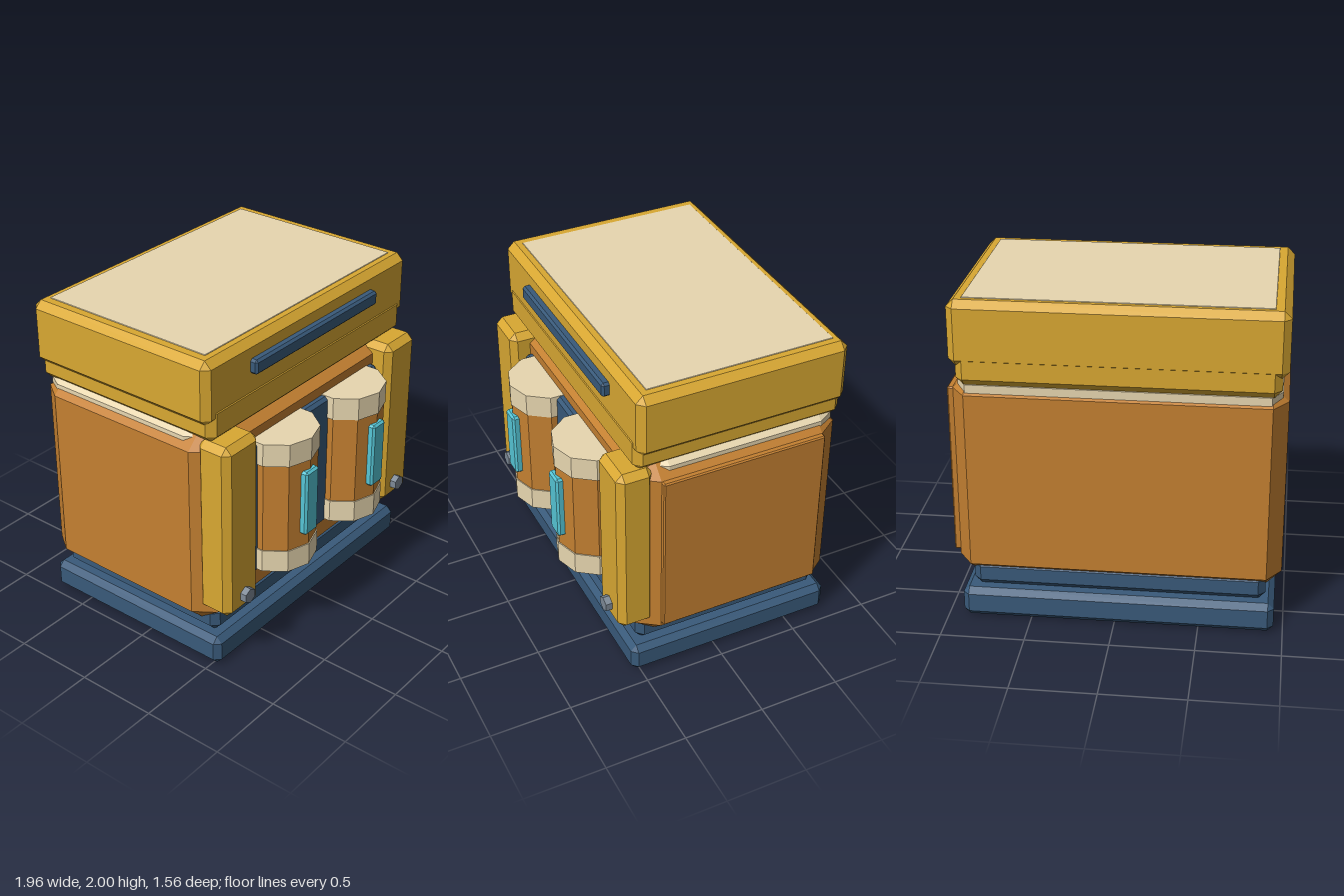
import * as THREE from 'three';
import { ConvexGeometry } from 'three/addons/geometries/ConvexGeometry.js';

const paint = (color) => new THREE.MeshStandardMaterial({ color, flatShading: true });
const YELLOW = paint(0xd9a832), ORANGE = paint(0xc48031), BLUE = paint(0x395a7a);
const CREAM = paint(0xe8d7b0), CYAN = paint(0x56c6d6), STEEL = paint(0x7d8996);

// Box with every edge chamfered; c gives the cut along x, y and z
function chamferBox(w, h, d, [cx, cy, cz]) {
  const pts = [];
  for (const sx of [-1, 1]) for (const sy of [-1, 1]) for (const sz of [-1, 1]) {
    const x = w / 2, y = h / 2, z = d / 2;
    pts.push(
      new THREE.Vector3(sx * x, sy * (y - cy), sz * (z - cz)),
      new THREE.Vector3(sx * (x - cx), sy * y, sz * (z - cz)),
      new THREE.Vector3(sx * (x - cx), sy * (y - cy), sz * z));
  }
  return new ConvexGeometry(pts);
}

export function createModel() {
  const model = new THREE.Group();
  model.name = 'powerUnit';

  const add = (name, geometry, material, x, y, z) => {
    const mesh = new THREE.Mesh(geometry, material);
    mesh.name = name;
    mesh.position.set(x, y, z);
    model.add(mesh);
  };
  // Chamfered block given by its extents on each axis
  const block = (name, material, [x0, x1], [y0, y1], [z0, z1], c) => {
    const cut = Array.isArray(c) ? c : [c, c, c];
    add(name, chamferBox(x1 - x0, y1 - y0, z1 - z0, cut), material,
      (x0 + x1) / 2, (y0 + y1) / 2, (z0 + z1) / 2);
  };

  // Stepped base
  block('base', BLUE, [-0.945, 0.91], [0, 0.185], [-0.77, 0.55], 0.036);
  block('plinth', BLUE, [-0.89, 0.85], [0.18, 0.35], [-0.71, 0.49], 0.042);

  // Main housing with a raised side panel
  block('body', ORANGE, [-0.98, 0.942], [0.265, 1.515], [-0.755, 0.51], [0.088, 0.086, 0.125]);
  block('sidePanel', ORANGE, [0.92, 0.975], [0.38, 1.43], [-0.635, 0.385], 0.008);

  // Seal under the lid
  block('seal', CREAM, [-0.945, 0.907], [1.4, 1.53], [-0.74, 0.42], [0.06, 0.04, 0.1]);

  // Lid, its lower lip, top plate and front bar
  block('lidLip', YELLOW, [-0.94, 0.895], [1.49, 1.72], [-0.778, 0.52], 0.045);
  block('lid', YELLOW, [-0.975, 0.932], [1.605, 1.996], [-0.78, 0.515], 0.043);
  block('topPlate', CREAM, [-0.885, 0.85], [1.97, 2], [-0.71, 0.435], 0.002);
  block('frontBar', BLUE, [-0.6, 0.56], [1.795, 1.885], [0.49, 0.56], 0.014);

  // Recess panel behind the canisters
  block('recessPanel', BLUE, [-0.645, 0.61], [0.485, 1.367], [0.48, 0.555], 0.02);

  // Front pillars with hexagonal bolts
  for (const [x, bolt] of [[-0.8, -0.79], [0.763, 0.755]]) {
    block('frontPillar', YELLOW, [x - 0.147, x + 0.147], [0.375, 1.5], [0.405, 0.63], 0.04);
    add('bolt', new THREE.CylinderGeometry(0.048, 0.048, 0.06, 6).rotateX(Math.PI / 2),
      STEEL, bolt, 0.485, 0.64);
  }

  // Ten-sided canisters with end caps and a gauge
  const capGeometry = new THREE.CylinderGeometry(0.244, 0.244, 0.143, 10);
  const coreGeometry = new THREE.CylinderGeometry(0.237, 0.237, 0.6, 10);
  for (const x of [-0.357, 0.317]) {
    add('canister', coreGeometry, ORANGE, x, 0.943, 0.52);
    for (const y of [0.584, 1.301]) add('canisterCap', capGeometry, CREAM, x, y, 0.52);
    block('gauge', CYAN, [x - 0.059, x + 0.059], [0.742, 1.167], [0.72, 0.78], 0.013);
  }
  return model;
}
